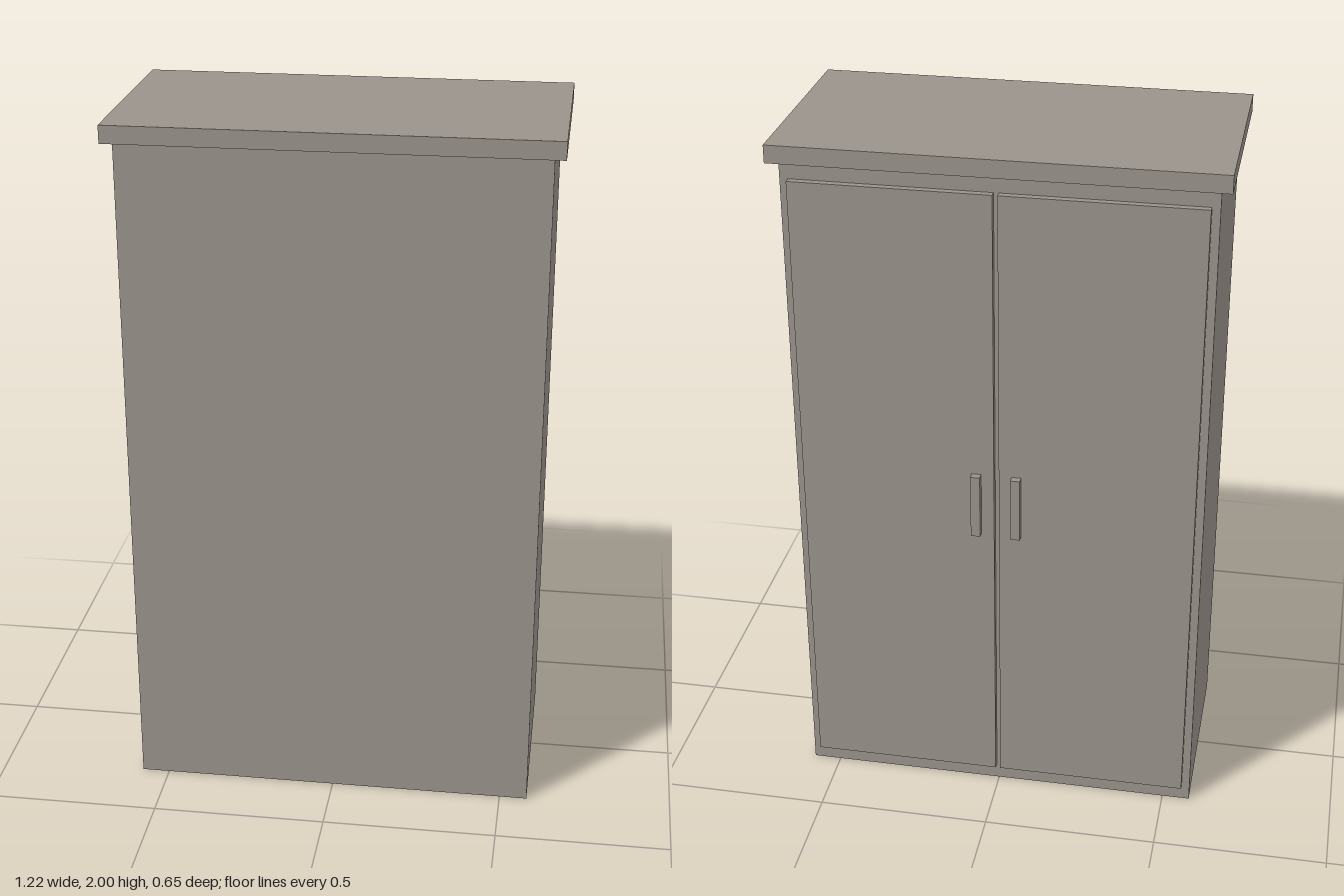
import * as THREE from 'three';

const material = new THREE.MeshStandardMaterial({ color: 0x9a938b });

// Box given by its minimum and maximum corners
function box(name, [x0, y0, z0], [x1, y1, z1]) {
  const mesh = new THREE.Mesh(new THREE.BoxGeometry(x1 - x0, y1 - y0, z1 - z0), material);
  mesh.name = name;
  mesh.position.set((x0 + x1) / 2, (y0 + y1) / 2, (z0 + z1) / 2);
  return mesh;
}

export function createModel() {
  const cabinet = new THREE.Group();
  cabinet.name = 'cabinet';

  // Carcass and overhanging top board
  cabinet.add(box('body', [-0.58, 0, -0.284], [0.58, 1.95, 0.302]));
  cabinet.add(box('topBoard', [-0.61, 1.95, -0.313], [0.61, 2, 0.325]));

  // Mirrored pair of doors on the -z side, each with an upright handle
  for (const side of [1, -1]) {
    const name = side > 0 ? 'left' : 'right';
    const span = (a, b) => (side > 0 ? [a, b] : [-b, -a]);
    const [d0, d1] = span(0.007, 0.557);
    const [h0, h1] = span(0.043, 0.07);
    cabinet.add(box(name + 'Door', [d0, 0.05, -0.304], [d1, 1.9, -0.284]));
    cabinet.add(box(name + 'Handle', [h0, 0.88, -0.325], [h1, 1.07, -0.304]));
  }
  return cabinet;
}
